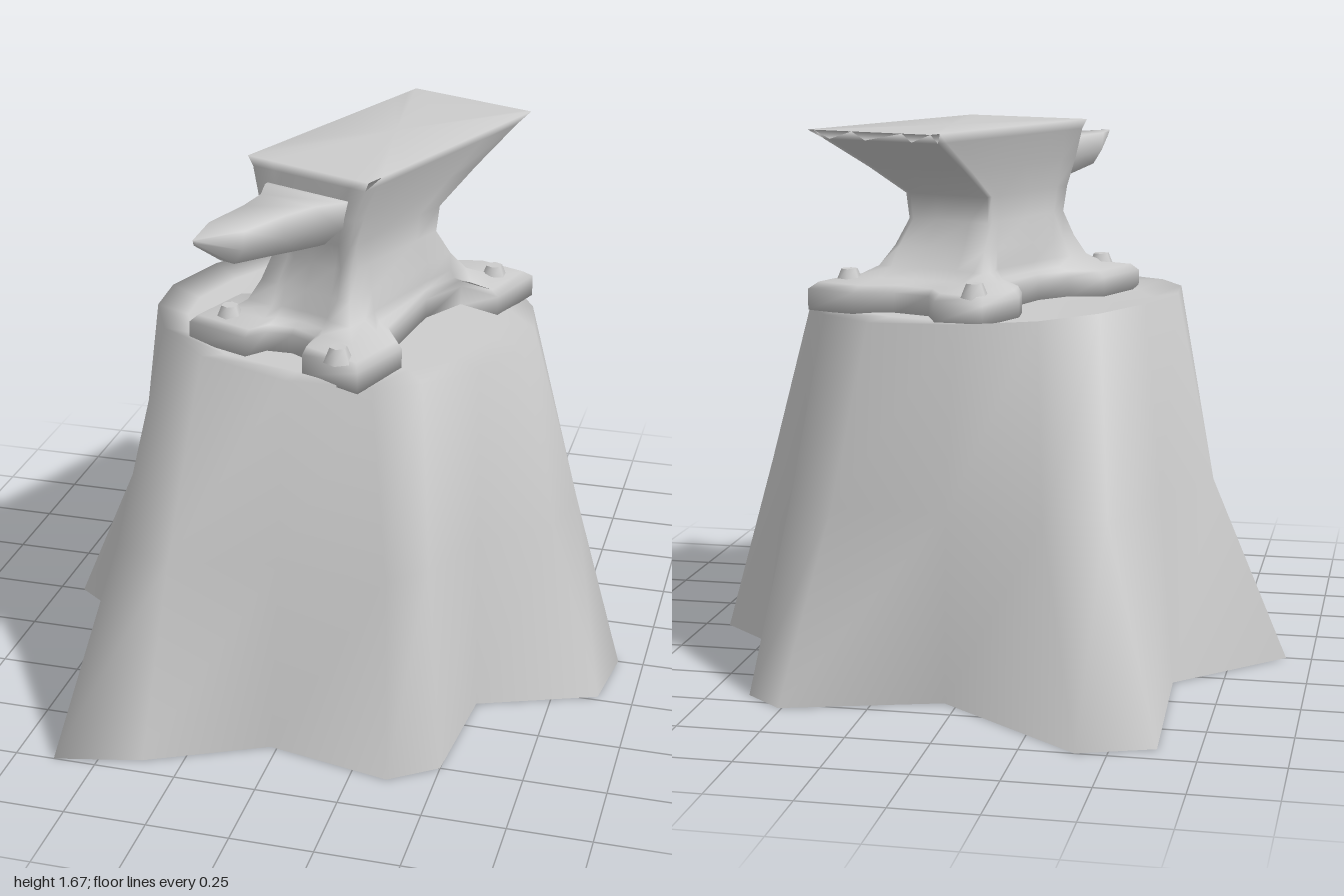
import * as THREE from 'three';
import { mergeVertices } from 'three/addons/utils/BufferGeometryUtils.js';

const { clamp, lerp } = THREE.MathUtils;

// Skin closed rings of [x, y, z] points; optional fan caps at both ends
function loft(rings, capStart, capEnd) {
  const n = rings[0].length, pos = rings.flat(2), idx = [];
  for (let r = 0; r < rings.length - 1; r++) {
    for (let i = 0; i < n; i++) {
      const j = (i + 1) % n, a = r * n + i, b = r * n + j;
      idx.push(a, b, b + n, a, b + n, a + n);
    }
  }
  const cap = (r, flip) => {
    const c = pos.length / 3;
    for (let k = 0; k < 3; k++) pos.push(rings[r].reduce((s, p) => s + p[k], 0) / n);
    for (let i = 0; i < n; i++) {
      const a = r * n + i, b = r * n + (i + 1) % n;
      idx.push(...(flip ? [b, a, c] : [a, b, c]));
    }
  };
  if (capStart) cap(0, true);
  if (capEnd) cap(rings.length - 1, false);
  const g = new THREE.BufferGeometry();
  g.setAttribute('position', new THREE.Float32BufferAttribute(pos, 3));
  g.setIndex(idx);
  const merged = mergeVertices(g, 1e-4);
  merged.computeVertexNormals();
  return merged;
}

export function createModel() {
  const model = new THREE.Group();
  const grey = new THREE.MeshStandardMaterial({ color: 0xcccccc, side: THREE.DoubleSide });
  grey.name = 'plain grey';
  const add = (name, geometry, parent = model) => {
    const m = new THREE.Mesh(geometry, grey);
    m.name = name;
    parent.add(m);
    return m;
  };

  // Stump: root outline on the ground, waist and rounded rim, open underneath
  const ground = [
    [-0.92, 0], [-0.55, 0.27], [-0.63, 1], [-0.37, 0.94], [-0.02, 0.77], [0.36, 0.85],
    [0.5, 0.75], [0.53, 0.37], [0.89, 0.23], [0.92, 0], [0.6, -0.28], [0.63, -0.69],
    [0.51, -0.79], [0.04, -0.65], [-0.41, -1], [-0.63, -0.92], [-0.6, -0.32],
  ];
  const waist = [
    [-0.68, 0], [-0.555, 0.27], [-0.525, 0.67], [-0.34, 0.74], [-0.02, 0.66], [0.31, 0.68],
    [0.42, 0.59], [0.52, 0.37], [0.72, 0.19], [0.76, 0], [0.59, -0.25], [0.54, -0.53],
    [0.39, -0.61], [0.04, -0.62], [-0.26, -0.69], [-0.44, -0.62], [-0.55, -0.27],
  ];
  const rim = [
    [-0.56, 0], [-0.55, 0.17], [-0.47, 0.34], [-0.3, 0.5], [-0.02, 0.58], [0.23, 0.54],
    [0.36, 0.46], [0.5, 0.32], [0.59, 0.11], [0.6, -0.04], [0.56, -0.22], [0.47, -0.38],
    [0.3, -0.51], [0.02, -0.59], [-0.22, -0.55], [-0.38, -0.42], [-0.49, -0.23],
  ];
  add('stump', loft([
    ground.map(([x, z]) => [x, 0, z]),
    waist.map(([x, z]) => [x, 0.57, z]),
    rim.map(([x, z]) => [x, 1.127 - 0.05 * Math.min(x, 0.3), z]),
    rim.map(([x, z]) => [x * 0.84, 1.12, z * 0.84]),
  ], false, true));

  // Anvil, turned on the stump
  const anvil = new THREE.Group();
  const turn = -0.37, cx = 0.125, cz = -0.12;
  anvil.name = 'anvil';
  anvil.position.set(cx, 0, cz);
  anvil.rotation.y = turn;
  model.add(anvil);

  // Outline of the four feet, brought into the anvil's own axes
  const outline = [
    [-0.06, -0.57], [-0.13, -0.37], [-0.12, -0.27], [-0.06, -0.2], [-0.12, 0], [-0.2, 0.1],
    [-0.31, 0.12], [-0.39, 0.34], [-0.19, 0.42], [-0.14, 0.36], [-0.06, 0.36], [0.02, 0.41],
    [0.01, 0.5], [0.2, 0.59], [0.28, 0.38], [0.22, 0.28], [0.26, -0.02], [0.34, -0.16],
    [0.47, -0.1], [0.54, -0.31], [0.38, -0.38], [0.26, -0.35], [0.14, -0.4], [0.1, -0.5],
  ].map(([x, z]) => {
    const dx = x - cx, dz = z - cz, c = Math.cos(turn), s = Math.sin(turn);
    return [dx * c - dz * s, dx * s + dz * c];
  });
  // Each outline point drawn in onto the rectangle of the waist
  const W = 0.16, F = 0.45, B = -0.08;
  const inner = outline.map(([u, v]) => [clamp(u, -W, W), clamp(v, B, F)]);

  // Feet sweeping up: height, share of the way in
  const feet = [[1.115, 0], [1.18, 0], [1.2, 0.12], [1.212, 0.55], [1.24, 0.8]].map(([y, t]) =>
    outline.map(([u, v], i) => [lerp(u, inner[i][0], t), y, lerp(v, inner[i][1], t)]));

  // Body sections: height, half width, front, back
  const body = [
    [1.3, 0.165, 0.45, -0.08], [1.38, 0.145, 0.415, -0.03], [1.46, 0.15, 0.43, -0.04],
    [1.55, 0.175, 0.44, -0.2], [1.645, 0.205, 0.43, -0.385], [1.675, 0.22, 0.435, -0.445],
  ].map(([y, w, f, b]) =>
    inner.map(([u, v]) => [(u / W) * w, y, lerp(b, f, (v - B) / (F - B))]));
  add('anvilBody', loft([...feet, ...body], true, true), anvil);

  // Low bolts on the feet
  for (const [x, z] of [[-0.02, -0.49], [0.43, -0.23], [-0.27, 0.31], [0.13, 0.54]]) {
    const bolt = add('bolt', new THREE.CylinderGeometry(0.026, 0.045, 0.045, 6));
    bolt.position.set(x, 1.213, z);
  }

  // Horn stations: distance forward, half width, underside height
  const horn = [
    [0.36, 0.16, 1.45], [0.45, 0.145, 1.455], [0.53, 0.098, 1.46],
    [0.64, 0.076, 1.475], [0.81, 0.064, 1.5], [0.95, 0.006, 1.59],
  ].map(([v, w, b]) => {
    const t = 1.605, m = lerp(t, b, 0.55);
    return [[w, t, v], [-w, t, v], [-w * 0.9, m, v], [-w * 0.4, b, v], [w * 0.4, b, v], [w * 0.9, m, v]];
  });
  add('horn', loft(horn, true, true), anvil);

  return model;
}
